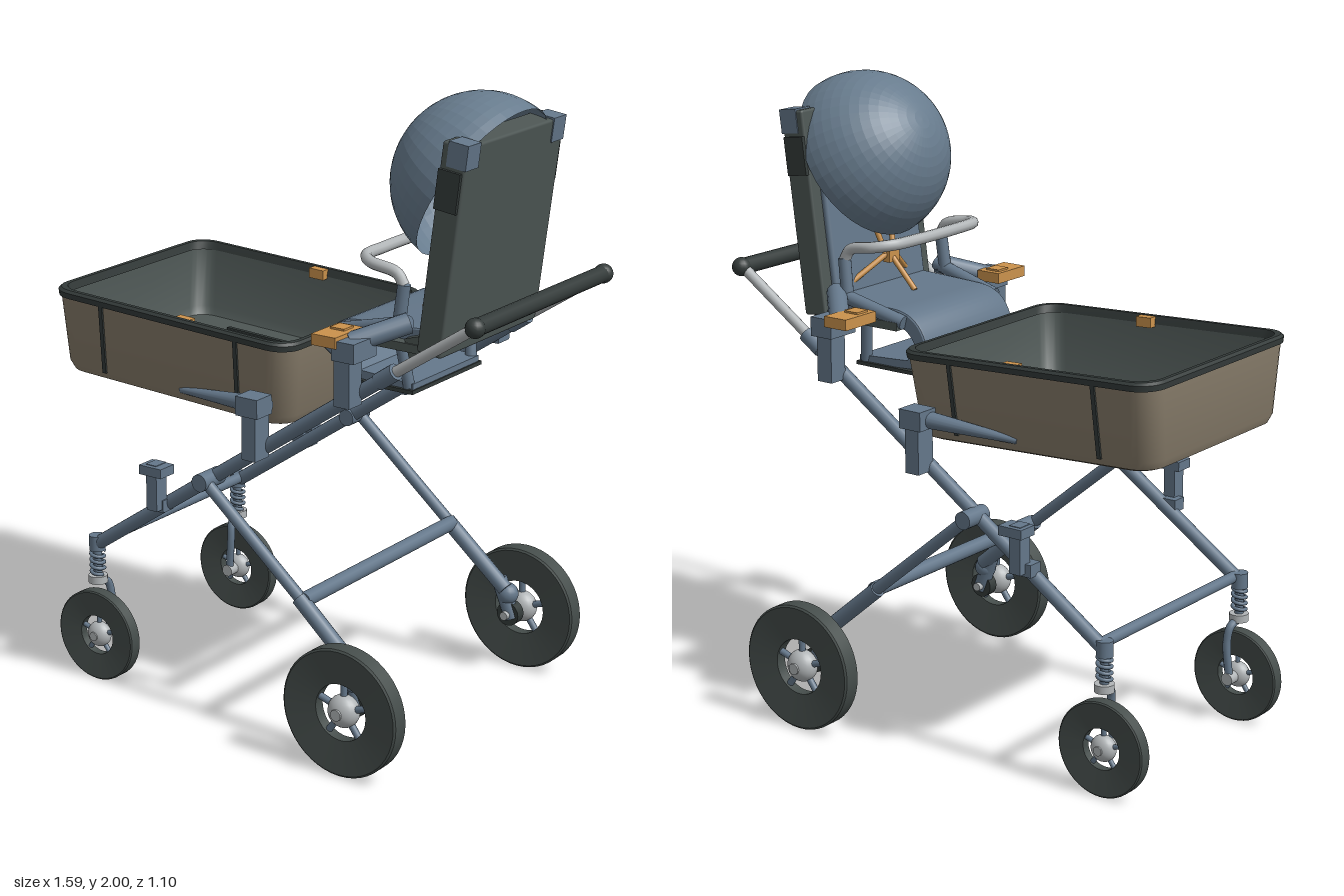
import * as THREE from 'three';
import { toCreasedNormals } from 'three/addons/utils/BufferGeometryUtils.js';
import { RoundedBoxGeometry } from 'three/addons/geometries/RoundedBoxGeometry.js';

const V = (x, y, z) => new THREE.Vector3(x, y, z);
const mat = (name, color, side = THREE.FrontSide) => {
  const m = new THREE.MeshStandardMaterial({ color, side });
  m.name = name;
  return m;
};

export function createModel() {
  const slate = mat('slate plastic', 0x64778a);
  const shade = mat('canopy fabric', 0x687c8e, THREE.DoubleSide);
  const dark = mat('dark fabric', 0x4d5654);
  const rubber = mat('rubber', 0x454d4b);
  const trim = mat('black trim', 0x343b3a);
  const tan = mat('tan fabric', 0x877c6a);
  const orange = mat('orange accent', 0xcb924c);
  const metal = mat('light metal', 0xb2b6b8);

  const model = new THREE.Group();
  const add = (name, geo, m, parent = model) => {
    const mesh = new THREE.Mesh(geo, m);
    mesh.name = name;
    parent.add(mesh);
    return mesh;
  };
  // Box from its minimum and maximum corners
  const box = (name, a, b, m, parent) => {
    const g = new THREE.BoxGeometry(b[0] - a[0], b[1] - a[1], Math.abs(b[2] - a[2]));
    g.translate((a[0] + b[0]) / 2, (a[1] + b[1]) / 2, (a[2] + b[2]) / 2);
    return add(name, g, m, parent);
  };
  // Straight round bar between two points
  const rod = (name, a, b, r, m, parent, r2 = r) => {
    const p = V(...a), d = V(...b).sub(p);
    const mesh = add(name, new THREE.CylinderGeometry(r2, r, d.length(), 16), m, parent);
    mesh.position.copy(p).addScaledVector(d, 0.5);
    mesh.quaternion.setFromUnitVectors(V(0, 1, 0), d.normalize());
    return mesh;
  };
  const tube = (name, pts, r, m, parent, n = 40) => add(name, new THREE.TubeGeometry(
    new THREE.CatmullRomCurve3(pts.map(p => V(...p)), false, 'centripetal'), n, r, 10), m, parent);

  // Skin through rounded rectangles [y, half x, half z, corner radius]
  const loft = sections => {
    const rings = sections.map(([y, hx, hz, r]) => {
      const ring = [];
      for (let k = 0; k < 4; k++) for (let i = 0; i <= 6; i++) {
        const t = (k + i / 6) * Math.PI / 2;
        const sx = k === 0 || k === 3 ? 1 : -1, sz = k < 2 ? 1 : -1;
        ring.push([sx * (hx - r) + r * Math.cos(t), y, sz * (hz - r) + r * Math.sin(t)]);
      }
      return ring;
    });
    const pos = [], n = rings[0].length;
    for (let i = 0; i < rings.length - 1; i++) for (let j = 0; j < n; j++) {
      const k = (j + 1) % n, a = rings[i], b = rings[i + 1];
      pos.push(...a[j], ...b[j], ...a[k], ...a[k], ...b[j], ...b[k]);
    }
    const g = new THREE.BufferGeometry();
    g.setAttribute('position', new THREE.Float32BufferAttribute(pos, 3));
    return toCreasedNormals(g, 0.6);
  };

  // Wheel: dished tyre, spokes and domed hub
  const wheel = (name, x, y, z, R, ri, w, hub) => {
    const g = new THREE.Group();
    g.name = name;
    g.position.set(x, y, z);
    model.add(g);
    const profile = [[ri, -w * 0.3], [R * 0.97, -w / 2], [R, -w * 0.42], [R, w * 0.42],
      [R * 0.97, w / 2], [ri, w * 0.3], [ri, -w * 0.3]].map(p => new THREE.Vector2(...p));
    const tyre = new THREE.LatheGeometry(profile, 48);
    tyre.rotateX(Math.PI / 2);
    add('tyre', toCreasedNormals(tyre, 0.5), rubber, g);
    for (let i = 0; i < 5; i++) {
      const a = i * Math.PI * 0.4 + Math.PI / 2, c = Math.cos(a), s = Math.sin(a);
      rod('spoke', [0, 0, 0], [c * ri * 1.05, s * ri * 1.05, 0], ri * 0.12, slate, g);
    }
    add('hub', new THREE.SphereGeometry(hub, 20, 14), metal, g).scale.z = Math.min(1, w * 0.7 / hub);
    rod('hubCap', [0, 0, -w * 0.75], [0, 0, w * 0.75], hub * 0.35, metal, g);
  };

  // Frame slope: height of the main tube at x
  const rail = x => 0.46 + (x + 0.635) * 0.683;

  for (const s of [1, -1]) {
    const z = v => s * v;
    // Main rails and handle tubes
    rod('mainRail', [-0.635, 0.46, z(0.37)], [0.49, rail(0.49), z(0.365)], 0.022, slate);
    rod('handleTube', [0.47, rail(0.47), z(0.36)], [0.765, 1.41, z(0.355)], 0.017, metal);
    rod('handleCollar', [0.44, rail(0.44), z(0.362)], [0.5, rail(0.5), z(0.362)], 0.026, slate);
    add('handleEnd', new THREE.SphereGeometry(0.03, 16, 12), trim).position.set(0.765, 1.41, z(0.36));
    // Rear legs
    rod('rearLeg', [-0.17, 0.785, z(0.41)], [0.24, 0.44, z(0.41)], 0.019, slate);
    rod('rearLegSleeve', [0.19, 0.48, z(0.41)], [0.41, 0.29, z(0.415)], 0.025, slate);
    rod('legPivot', [-0.165, 0.78, z(0.34)], [-0.165, 0.78, z(0.44)], 0.028, slate);
    rod('suspensionArm', [0.38, 0.32, z(0.425)], [0.43, 0.19, z(0.43)], 0.026, slate);
    add('suspensionJoint', new THREE.SphereGeometry(0.036, 16, 12), slate).position.set(0.41, 0.27, z(0.43));
    rod('rearAxle', [0.42, 0.205, z(0.39)], [0.42, 0.205, z(0.5)], 0.014, metal);
    rod('brakeDrum', [0.42, 0.205, z(0.415)], [0.42, 0.205, z(0.45)], 0.04, trim);
    wheel('rearWheel', 0.42, 0.205, z(0.505), 0.203, 0.09, 0.06, 0.052);

    // Front casters with springs
    rod('casterCap', [-0.635, 0.44, z(0.37)], [-0.635, 0.49, z(0.37)], 0.026, slate);
    rod('casterStem', [-0.635, 0.33, z(0.37)], [-0.635, 0.45, z(0.37)], 0.014, slate);
    const coil = [];
    for (let i = 0; i <= 40; i++) {
      const a = i / 40 * Math.PI * 8;
      coil.push([-0.635 + 0.021 * Math.cos(a), 0.36 + 0.08 * i / 40, z(0.37) + 0.021 * Math.sin(a)]);
    }
    tube('spring', coil, 0.006, slate, model, 90);
    rod('casterCollar', [-0.635, 0.33, z(0.37)], [-0.635, 0.355, z(0.37)], 0.031, metal);
    tube('casterFork', [[-0.635, 0.335, z(0.37)], [-0.63, 0.32, z(0.33)],
      [-0.625, 0.27, z(0.318)], [-0.635, 0.15, z(0.32)]], 0.013, slate);
    rod('frontAxle', [-0.635, 0.15, z(0.305)], [-0.635, 0.15, z(0.38)], 0.02, metal);
    wheel('frontWheel', -0.635, 0.15, z(0.37), 0.15, 0.065, 0.045, 0.042);

    // Front accessory brackets
    box('bracketStem', [-0.375, 0.65, z(0.385)], [-0.335, 0.8, z(0.435)], slate);
    box('bracketHead', [-0.39, 0.768, z(0.385)], [-0.305, 0.798, z(0.45)], slate);
    box('bracketFoot', [-0.395, 0.64, z(0.36)], [-0.33, 0.68, z(0.41)], slate);

    // Basket mounts and their tapered arms
    box('basketMount', [0, 0.89, z(0.37)], [0.05, 1.05, z(0.44)], slate);
    box('basketMountHead', [-0.015, 1.03, z(0.375)], [0.065, 1.09, z(0.45)], slate);
    const arm = rod('basketArm', [0.06, 1.06, z(0.405)], [-0.3, 1.03, z(0.345)], 0.036, slate, model, 0.012);
    arm.scale.x = 0.85;

    // Seat mounts, clips and side arms
    box('seatMount', [0.335, 1.12, z(0.375)], [0.39, 1.28, z(0.44)], slate);
    box('seatMountHead', [0.33, 1.26, z(0.33)], [0.41, 1.32, z(0.445)], slate);
    box('seatClip', [0.265, 1.298, z(0.31)], [0.35, 1.332, z(0.452)], orange);
    box('seatClipButton', [0.28, 1.33, z(0.33)], [0.33, 1.338, z(0.38)], orange);
    rod('seatArm', [0.35, 1.3, z(0.38)], [0.47, 1.35, z(0.25)], 0.032, slate);
    rod('seatArmFront', [0.22, 1.285, z(0.23)], [0.47, 1.35, z(0.25)], 0.022, slate);
    rod('barPost', [0.43, 1.33, z(0.245)], [0.445, 1.46, z(0.24)], 0.02, slate);
  }

  // Cross bars and push handle
  rod('rearCrossBar', [0.205, 0.475, -0.41], [0.205, 0.475, 0.41], 0.024, slate);
  rod('frontCrossBar', [-0.62, 0.475, -0.37], [-0.62, 0.475, 0.37], 0.018, slate);
  rod('pushHandle', [0.765, 1.41, -0.36], [0.765, 1.41, 0.36], 0.026, trim);

  // Basket: tan outer shell, dark lining, rim, straps
  const basket = new THREE.Group();
  basket.name = 'basket';
  basket.position.set(-0.333, 1.255, 0);
  basket.rotation.z = -0.044;
  model.add(basket);
  add('basketShell', loft([[-0.265, 0.001, 0.001, 0.0005], [-0.265, 0.4, 0.32, 0.06], [-0.255, 0.425, 0.342, 0.07],
    [-0.23, 0.436, 0.352, 0.07], [0, 0.453, 0.378, 0.07]]), tan, basket);
  add('basketLining', loft([[0, 0.438, 0.362, 0.065], [-0.2, 0.415, 0.335, 0.06], [-0.225, 0.4, 0.32, 0.06],
    [-0.225, 0.001, 0.001, 0.0005]]), dark, basket);
  add('basketRim', loft([[-0.012, 0.432, 0.358, 0.07], [-0.012, 0.458, 0.384, 0.075], [0.006, 0.46, 0.386, 0.075],
    [0.014, 0.452, 0.378, 0.07], [0.014, 0.438, 0.364, 0.07], [-0.012, 0.432, 0.358, 0.07]]), trim, basket);
  for (const s of [1, -1]) {
    for (const x of [-0.255, 0.265]) {
      const strap = add('basketStrap', new THREE.BoxGeometry(0.014, 0.235, 0.008), trim, basket);
      strap.position.set(x, -0.117, s * 0.367);
      strap.rotation.x = s * 0.112;
    }
    box('floorSlot', [-0.22, -0.224, s * 0.228], [0.21, -0.217, s * 0.242], trim, basket);
    box('basketTab', [0.025, -0.02, s * 0.335], [0.08, 0.012, s * 0.366], orange, basket);
  }

  // Seat cushion with a curled front lip
  const lip = new THREE.Shape();
  lip.moveTo(0.53, 1.28);
  lip.lineTo(0.53, 1.325);
  lip.lineTo(0.27, 1.315);
  lip.quadraticCurveTo(0.17, 1.31, 0.147, 1.215);
  lip.lineTo(0.175, 1.195);
  lip.quadraticCurveTo(0.2, 1.27, 0.27, 1.275);
  lip.closePath();
  const cushion = new THREE.ExtrudeGeometry(lip, { depth: 0.42, curveSegments: 10, bevelEnabled: true,
    bevelSize: 0.006, bevelThickness: 0.01, bevelSegments: 2 });
  cushion.translate(0, 0, -0.21);
  add('seatCushion', toCreasedNormals(cushion, 0.6), slate);
  box('seatPan', [0.23, 1.262, -0.255], [0.56, 1.288, 0.255], dark);

  // Tray under the seat
  const trayShape = new THREE.Shape([[0.17, 1.225], [0.165, 1.2], [0.235, 1.125], [0.44, 1.115],
    [0.44, 1.14], [0.25, 1.15], [0.2, 1.21]].map(p => new THREE.Vector2(...p)));
  const tray = new THREE.ExtrudeGeometry(trayShape, { depth: 0.36, bevelEnabled: false });
  tray.translate(0, 0, -0.18);
  add('underTray', tray, slate);
  box('underTrayEdge', [0.22, 1.11, -0.19], [0.445, 1.122, 0.19], trim);
  for (const s of [1, -1]) rod('trayStay', [0.42, 1.125, s * 0.17], [0.4, 1.27, s * 0.19], 0.018, slate);

  // Seat back: leaning slab with padded front
  const back = new THREE.Group();
  back.name = 'seatBack';
  back.position.set(0.588, 1.585, 0);
  back.rotation.z = -0.13;
  model.add(back);
  add('backSlab', new RoundedBoxGeometry(0.085, 0.64, 0.53, 2, 0.008), dark, back);
  add('backPad', new RoundedBoxGeometry(0.03, 0.58, 0.44, 2, 0.012), slate, back).position.set(-0.045, 0, 0);
  const heel = add('backHeel', new THREE.BoxGeometry(0.1, 0.06, 0.5), dark);
  heel.position.set(0.51, 1.285, 0);
  heel.rotation.z = 0.3;
  for (const s of [1, -1]) {
    box('canopyHinge', [-0.04, 0.12, s * 0.255], [0.035, 0.24, s * 0.275], trim, back);
    box('backEar', [-0.02, 0.25, s * 0.2], [0.046, 0.325, s * 0.268], slate, back);
  }

  // Half-dome canopy
  const dome = new THREE.SphereGeometry(0.27, 40, 14, 0, Math.PI * 2, 0, Math.PI / 2).toNonIndexed();
  dome.computeVertexNormals();
  const canopy = add('canopy', dome, shade);
  canopy.position.set(0.555, 1.73, 0);
  canopy.rotation.z = 1.024;

  // Bumper bar
  tube('bumperBar', [[0.445, 1.455, 0.24], [0.42, 1.49, 0.24], [0.33, 1.508, 0.24], [0.285, 1.515, 0.2],
    [0.275, 1.515, 0.1], [0.275, 1.515, -0.1], [0.285, 1.515, -0.2], [0.33, 1.508, -0.24],
    [0.42, 1.49, -0.24], [0.445, 1.455, -0.24]], 0.018, metal, model, 60);

  // Harness
  for (const s of [1, -1]) {
    rod('shoulderStrap', [0.54, 1.68, s * 0.07], [0.46, 1.43, s * 0.02], 0.009, orange);
    rod('waistStrap', [0.51, 1.35, s * 0.14], [0.46, 1.43, s * 0.02], 0.009, orange);
  }
  rod('crotchStrap', [0.36, 1.325, 0], [0.46, 1.43, 0], 0.009, orange);
  add('buckle', new THREE.BoxGeometry(0.025, 0.05, 0.05), orange).position.set(0.455, 1.43, 0);

  return model;
}
